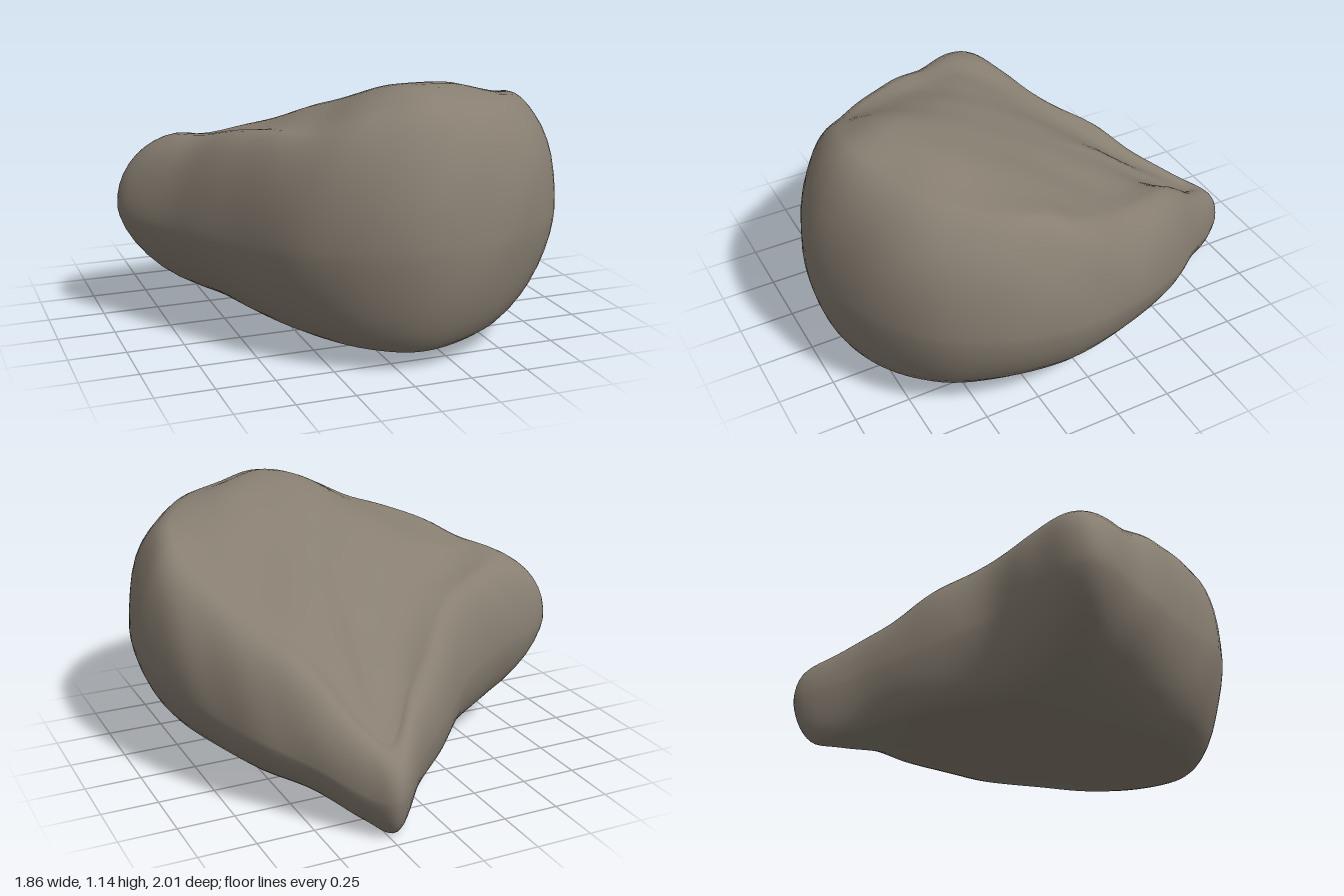
import * as THREE from 'three';

// Rows around the plan outline, starting at the back tip and going past +x:
// x, z, height of widest point, top rim scale, top rim height, base rim scale, base rim height
const OUTLINE = [
  [0.22, -1.0, 0.20, 0.86, 0.38, 0.90, 0.0],
  [0.34, -0.93, 0.20, 0.82, 0.45, 0.84, 0.03],
  [0.50, -0.72, 0.28, 0.79, 0.63, 0.75, 0.08],
  [0.68, -0.50, 0.36, 0.77, 0.74, 0.68, 0.09],
  [0.82, -0.22, 0.43, 0.76, 0.82, 0.63, 0.10],
  [0.91, 0.05, 0.50, 0.77, 0.92, 0.60, 0.10],
  [0.925, 0.25, 0.53, 0.77, 1.0, 0.61, 0.11],
  [0.87, 0.50, 0.55, 0.76, 1.04, 0.66, 0.12],
  [0.72, 0.74, 0.55, 0.72, 1.07, 0.73, 0.11],
  [0.45, 0.92, 0.55, 0.70, 1.10, 0.79, 0.09],
  [0.12, 1.0, 0.55, 0.72, 1.12, 0.80, 0.07],
  [-0.15, 0.93, 0.55, 0.74, 1.07, 0.78, 0.08],
  [-0.40, 0.73, 0.53, 0.78, 0.98, 0.70, 0.09],
  [-0.60, 0.42, 0.52, 0.78, 0.94, 0.60, 0.09],
  [-0.78, 0.12, 0.52, 0.75, 0.89, 0.48, 0.10],
  [-0.93, -0.13, 0.52, 0.70, 0.85, 0.42, 0.10],
  [-0.87, -0.26, 0.51, 0.72, 0.83, 0.48, 0.10],
  [-0.65, -0.33, 0.47, 0.78, 0.80, 0.66, 0.10],
  [-0.42, -0.42, 0.41, 0.81, 0.75, 0.79, 0.10],
  [-0.20, -0.62, 0.34, 0.82, 0.65, 0.85, 0.08],
  [0.02, -0.80, 0.27, 0.83, 0.51, 0.87, 0.05],
];
const CX = 0.1, CZ = 0.1, BASE_Y = 0.085;

function closedCurve(pick) {
  const points = OUTLINE.map((r) => new THREE.Vector3(...pick(r)));
  return new THREE.CatmullRomCurve3(points, true, 'catmullrom', 0.5);
}

// Broad top face, sloping down to the back and falling off more on the -x side of the front
function slab(x, z) {
  const front = Math.max(0, z);
  const fall = x < 0.12 ? 0.1 + 1.3 * front : 0.08 + 0.25 * front;
  return 0.925 + 0.53 * z - 0.25 * front ** 2 - fall * (x - 0.12) ** 2;
}

// Gentle weathering
const bump = (x, y, z) =>
  0.007 * Math.sin(7 * x + 3 * z + 1) * Math.sin(6 * z - 4 * y) +
  0.004 * Math.sin(15 * x - 9 * y) * Math.sin(13 * z + 5 * x);

function boulderGeometry() {
  const widest = closedCurve((r) => [r[0], r[2], r[1]]);
  const topRim = closedCurve((r) => [r[3], r[4], 0]);
  const baseRim = closedCurve((r) => [r[5], r[6], 0]);
  const cols = 126, capRows = 12, sideRows = 10;
  const rows = 2 * (capRows + sideRows) - 1;
  const positions = [], index = [];

  // Point on one column: top cap, upper side, lower side, base cap
  function surfacePoint(row, w, tf, ty, bf, by) {
    const place = (s) => [CX + (w.x - CX) * s, CZ + (w.z - CZ) * s];
    const quarter = (r) => (r / sideRows) * Math.PI / 2;
    if (row <= capRows) {
      const s = row / capRows, [x, z] = place(tf * s);
      return [x, THREE.MathUtils.lerp(slab(x, z), ty, s ** 4), z];
    }
    if (row <= capRows + sideRows) {
      const a = quarter(capRows + sideRows - row);
      const [x, z] = place(tf + (1 - tf) * Math.cos(a));
      return [x, w.y + (ty - w.y) * Math.sin(a), z];
    }
    if (row <= capRows + 2 * sideRows) {
      const a = quarter(row - capRows - sideRows);
      const [x, z] = place(bf + (1 - bf) * Math.cos(a));
      return [x, w.y + (by - w.y) * Math.sin(a) ** 1.25, z];
    }
    const s = 1 - (row - capRows - 2 * sideRows) / capRows, [x, z] = place(bf * s);
    return [x, THREE.MathUtils.lerp(BASE_Y, by, s ** 3), z];
  }

  // The weathering fades out towards the base
  function addPoint(x, y, z) {
    const n = bump(x, y, z) * THREE.MathUtils.smoothstep(y, 0.1, 0.4);
    positions.push(x + (x - CX) * n, Math.max(0, y + n), z + (z - CZ) * n);
  }

  addPoint(CX, slab(CX, CZ), CZ);
  for (let row = 1; row <= rows; row++) {
    for (let c = 0; c < cols; c++) {
      const t = c / cols;
      const u = topRim.getPoint(t), b = baseRim.getPoint(t);
      addPoint(...surfacePoint(row, widest.getPoint(t), u.x, u.y, b.x, b.y));
    }
  }
  addPoint(CX, BASE_Y, CZ);

  const last = positions.length / 3 - 1;
  const at = (row, c) => 1 + (row - 1) * cols + (c % cols);
  for (let c = 0; c < cols; c++) {
    index.push(0, at(1, c + 1), at(1, c));
    for (let row = 1; row < rows; row++) {
      const a = at(row, c), b = at(row, c + 1), d = at(row + 1, c), e = at(row + 1, c + 1);
      index.push(a, b, d, b, e, d);
    }
    index.push(at(rows, c), at(rows, c + 1), last);
  }

  const geometry = new THREE.BufferGeometry();
  geometry.setAttribute('position', new THREE.Float32BufferAttribute(positions, 3));
  geometry.setIndex(index);
  geometry.computeVertexNormals();
  return geometry;
}

export function createModel() {
  const stone = new THREE.MeshStandardMaterial({ color: 0x887f72 });
  stone.name = 'stone';
  const boulder = new THREE.Mesh(boulderGeometry(), stone);
  boulder.name = 'boulder';
  const group = new THREE.Group();
  group.name = 'rock';
  group.add(boulder);
  return group;
}
